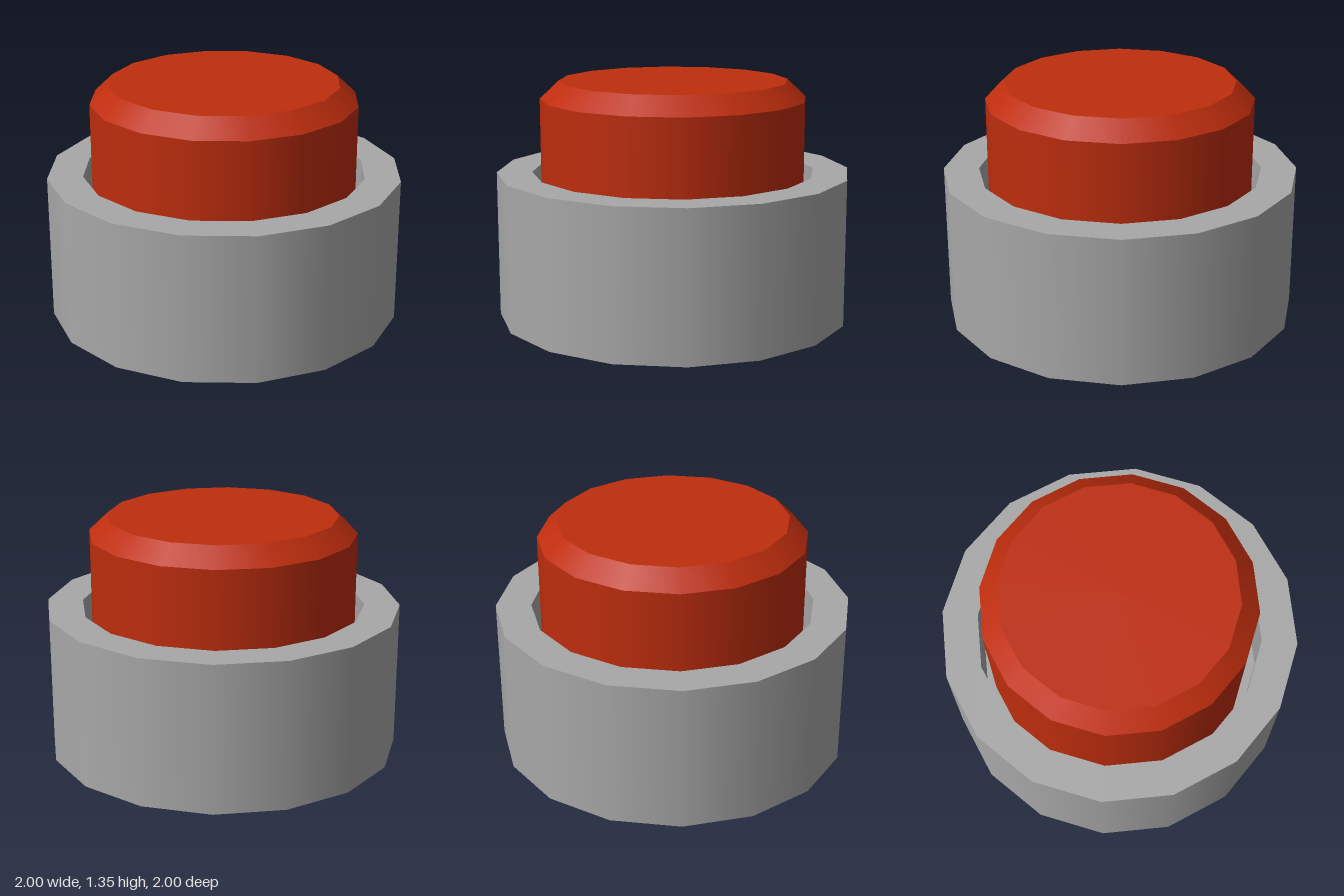
import * as THREE from 'three';
import { mergeGeometries } from 'three/addons/utils/BufferGeometryUtils.js';

const SIDES = 16;

// Revolve each profile segment on its own: smooth around, sharp between bands
function creasedLathe(profile) {
  const bands = [];
  for (let i = 0; i < profile.length - 1; i++) {
    const pair = [profile[i], profile[i + 1]].map(([r, y]) => new THREE.Vector2(r, y));
    bands.push(new THREE.LatheGeometry(pair, SIDES));
  }
  return mergeGeometries(bands);
}

export function createModel() {
  const grey = new THREE.MeshStandardMaterial({ color: 0xa8a8a8 });
  grey.name = 'housing grey';
  const red = new THREE.MeshStandardMaterial({ color: 0xbe2d0d });
  red.name = 'button red';

  const group = new THREE.Group();
  group.name = 'pushButton';

  // Hollow housing: closed bottom, outer wall, rim, inner wall, socket floor
  const housing = new THREE.Mesh(creasedLathe([
    [0, 0], [1, 0], [1, 0.83], [0.8, 0.83], [0.8, 0.42], [0, 0.42],
  ]), grey);
  housing.name = 'housing';

  // Button cap with a chamfered top edge, sunk into the socket
  const cap = new THREE.Mesh(creasedLathe([
    [0.75, 0.42], [0.75, 1.245], [0.645, 1.345], [0, 1.345],
  ]), red);
  cap.name = 'buttonCap';

  group.add(housing, cap);
  return group;
}
